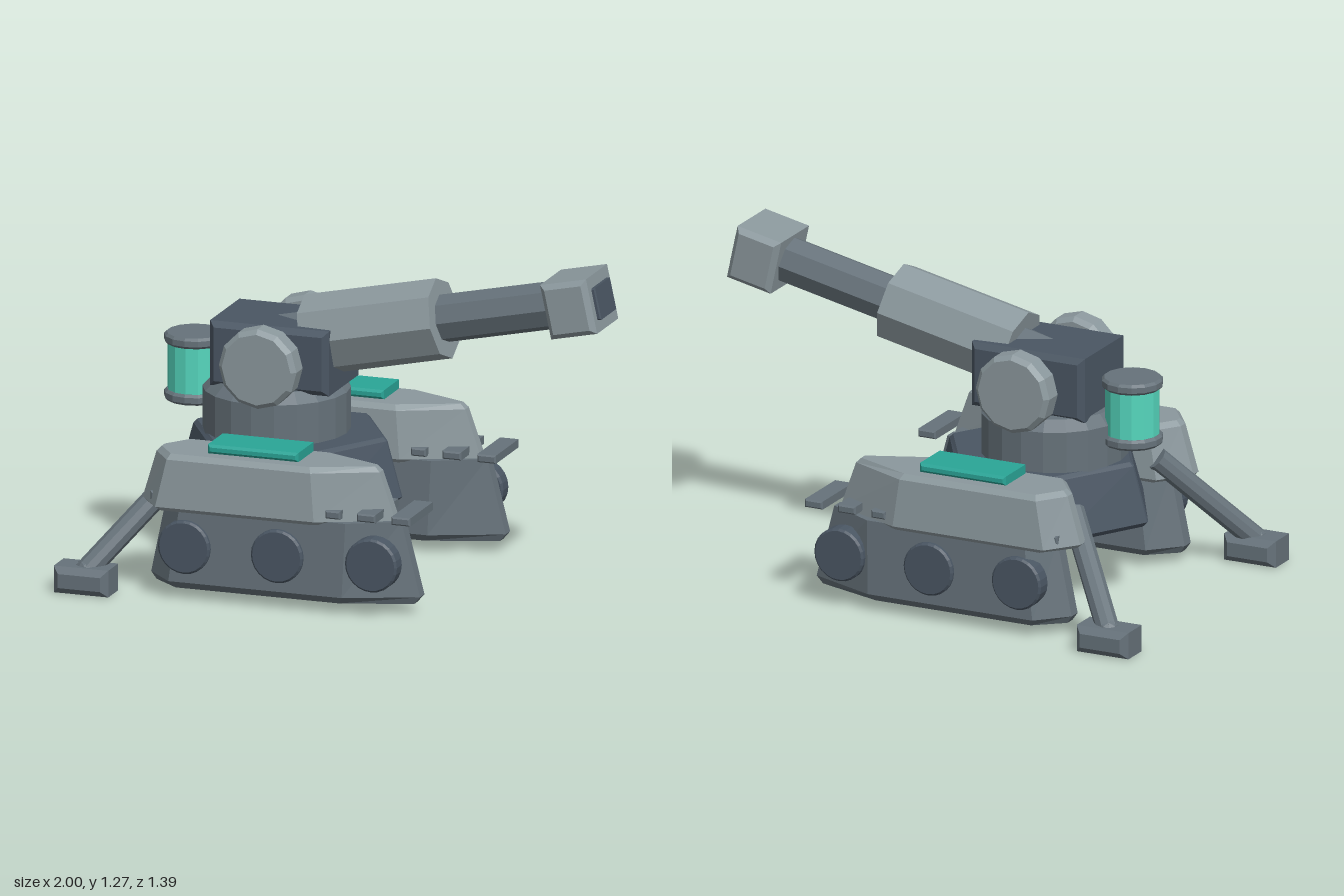
import * as THREE from 'three';

const paint = (color) => new THREE.MeshStandardMaterial({ color, flatShading: true });
const DARK = paint(0x4a5663), MID = paint(0x66727a), LIGHT = paint(0x8b989d);
const TEAL = paint(0x2aa597), GLASS = paint(0x55d6bd);

function add(parent, name, geometry, material, x = 0, y = 0, z = 0) {
  const mesh = new THREE.Mesh(geometry, material);
  mesh.name = name;
  mesh.position.set(x, y, z);
  parent.add(mesh);
  return mesh;
}

// Box with chamfered edges, centred on its origin
function chamferBox(w, h, d, b) {
  const x = w / 2 - b, y = h / 2 - b;
  const shape = new THREE.Shape([[-x, -y], [x, -y], [x, y], [-x, y]].map((p) => new THREE.Vector2(...p)));
  return new THREE.ExtrudeGeometry(shape, {
    depth: d - 2 * b, bevelSize: b, bevelThickness: b, bevelSegments: 1,
  }).translate(0, 0, b - d / 2);
}

// Drum with chamfered rims, centred on its origin, axis along y
function drum(r, h, b, sides, bottomBevel = b) {
  const points = [[0, -h / 2], [r - bottomBevel, -h / 2], [r, -h / 2 + bottomBevel], [r, h / 2 - b], [r - b, h / 2], [0, h / 2]];
  return new THREE.LatheGeometry(points.map((p) => new THREE.Vector2(...p)), sides);
}

// Eight-cornered plan: pointed nose and tail, straight flanks
function plan(y, tail, rear, fore, nose, half, tip) {
  return [[nose, tip], [nose, -tip], [fore, -half], [rear, -half], [tail, -tip], [tail, tip], [rear, half], [fore, half]]
    .map(([x, z]) => [x, y, z]);
}

// Joins plans from bottom to top and caps both ends
function loft(rings) {
  const out = [], n = rings[0].length;
  const tri = (...corners) => corners.forEach((c) => out.push(...c));
  for (let r = 0; r < rings.length - 1; r++) {
    for (let i = 0; i < n; i++) {
      const j = (i + 1) % n, low = rings[r], up = rings[r + 1];
      tri(low[i], low[j], up[j]);
      tri(low[i], up[j], up[i]);
    }
  }
  const base = rings[0], top = rings[rings.length - 1];
  for (let i = 1; i < n - 1; i++) {
    tri(top[0], top[i], top[i + 1]);
    tri(base[0], base[i + 1], base[i]);
  }
  const geometry = new THREE.BufferGeometry();
  geometry.setAttribute('position', new THREE.Float32BufferAttribute(out, 3));
  geometry.computeVertexNormals();
  return geometry;
}

// Track pod with skirt, wheels, guard bars and roof panel
function trackPod(side) {
  const pod = new THREE.Group();
  pod.name = side > 0 ? 'leftTrackPod' : 'rightTrackPod';
  pod.position.z = side * 0.472;
  add(pod, 'trackBody', loft([
    plan(0.04, -0.65, -0.54, 0.12, 0.39, 0.11, 0.02),
    plan(0.07, -0.67, -0.56, 0.14, 0.415, 0.138, 0.025),
    plan(0.36, -0.61, -0.52, 0.15, 0.34, 0.126, 0.025),
  ]), MID);
  add(pod, 'skirt', loft([
    plan(0.345, -0.69, -0.59, 0.02, 0.3, 0.135, 0.02),
    plan(0.36, -0.705, -0.61, 0.03, 0.315, 0.147, 0.022),
    plan(0.545, -0.65, -0.57, 0.01, 0.25, 0.13, 0.02),
    plan(0.565, -0.63, -0.56, 0, 0.23, 0.11, 0.015),
  ]), LIGHT);
  for (const x of [-0.495, -0.12, 0.26]) {
    add(pod, 'wheel', drum(0.105, 0.07, 0.008, 24), DARK, x, 0.21, side * 0.115).rotation.x = Math.PI / 2;
  }
  for (const [x, w] of [[-0.622, 0.05], [0.1, 0.06], [0.235, 0.075], [0.375, 0.075]]) {
    const length = x < 0 ? 0.2 : 0.262;
    add(pod, 'guardBar', chamferBox(w, 0.032, length, 0.006), MID, x, 0.39, 0);
  }
  add(pod, 'roofPanel', chamferBox(0.365, 0.036, 0.183, 0.01), TEAL, -0.237, 0.59, 0);
  return pod;
}

// Rear stabiliser: slanted strut and foot pad
function stabiliser(side) {
  const leg = new THREE.Group();
  leg.name = side > 0 ? 'leftStabiliser' : 'rightStabiliser';
  const foot = new THREE.Vector3(-0.885, 0.085, side * 0.615);
  const hip = new THREE.Vector3(-0.6, 0.44, side * 0.35);
  const dir = hip.clone().sub(foot);
  const mid = foot.clone().add(hip).multiplyScalar(0.5);
  add(leg, 'strut', new THREE.CylinderGeometry(0.045, 0.045, dir.length(), 10), MID, ...mid)
    .quaternion.setFromUnitVectors(new THREE.Vector3(0, 1, 0), dir.normalize());
  add(leg, 'ankle', new THREE.IcosahedronGeometry(0.046, 1), MID, ...foot);
  add(leg, 'footPad', chamferBox(0.22, 0.105, 0.16, 0.025), MID, -0.89, 0.0525, side * 0.615);
  return leg;
}

// Gun built along +x and tilted upwards about the turret
function gun() {
  const group = new THREE.Group();
  group.name = 'gun';
  group.position.set(-0.2, 0.916, 0);
  group.rotation.z = 0.212;
  const tube = (name, r, from, to, mat) => {
    add(group, name, new THREE.CylinderGeometry(r, r, to - from, 8).rotateZ(-Math.PI / 2), mat, (from + to) / 2, 0, 0);
  };
  tube('barrel', 0.093, -0.2, 1.05, MID);
  tube('sleeve', 0.158, 0, 0.543, LIGHT);
  add(group, 'muzzleBlock', chamferBox(0.19, 0.215, 0.272, 0.02), LIGHT, 1.1, 0, 0);
  add(group, 'bore', chamferBox(0.03, 0.125, 0.172, 0.005), DARK, 1.195, 0, 0);
  return group;
}

export function createModel() {
  const model = new THREE.Group();
  model.name = 'siegeTank';

  // Central hull
  add(model, 'hull', loft([
    plan(0.29, -0.72, -0.53, -0.05, 0.14, 0.34, 0.005),
    plan(0.31, -0.74, -0.54, -0.04, 0.16, 0.355, 0.005),
    plan(0.525, -0.68, -0.5, -0.08, 0.1, 0.305, 0.005),
    plan(0.54, -0.665, -0.49, -0.09, 0.085, 0.29, 0.005),
  ]), DARK);

  // Turret
  add(model, 'turretRing', drum(0.282, 0.24, 0.04, 20, 0.005), MID, -0.345, 0.62, 0);
  add(model, 'turretBlock', chamferBox(0.48, 0.255, 0.365, 0.022), DARK, -0.315, 0.853, 0);
  for (const side of [1, -1]) {
    add(model, 'trunnionDisc', drum(0.157, 0.104, 0.018, 12), LIGHT, -0.315, 0.845, side * 0.259).rotation.x = Math.PI / 2;
    model.add(trackPod(side), stabiliser(side));
  }
  model.add(gun());

  // Energy canister behind the turret
  add(model, 'canisterGlass', new THREE.CylinderGeometry(0.105, 0.105, 0.2, 14), GLASS, -0.675, 0.75, 0);
  for (const y of [0.64, 0.862]) {
    add(model, 'canisterCap', drum(0.118, 0.042, 0.01, 14), MID, -0.675, y, 0);
  }
  return model;
}
